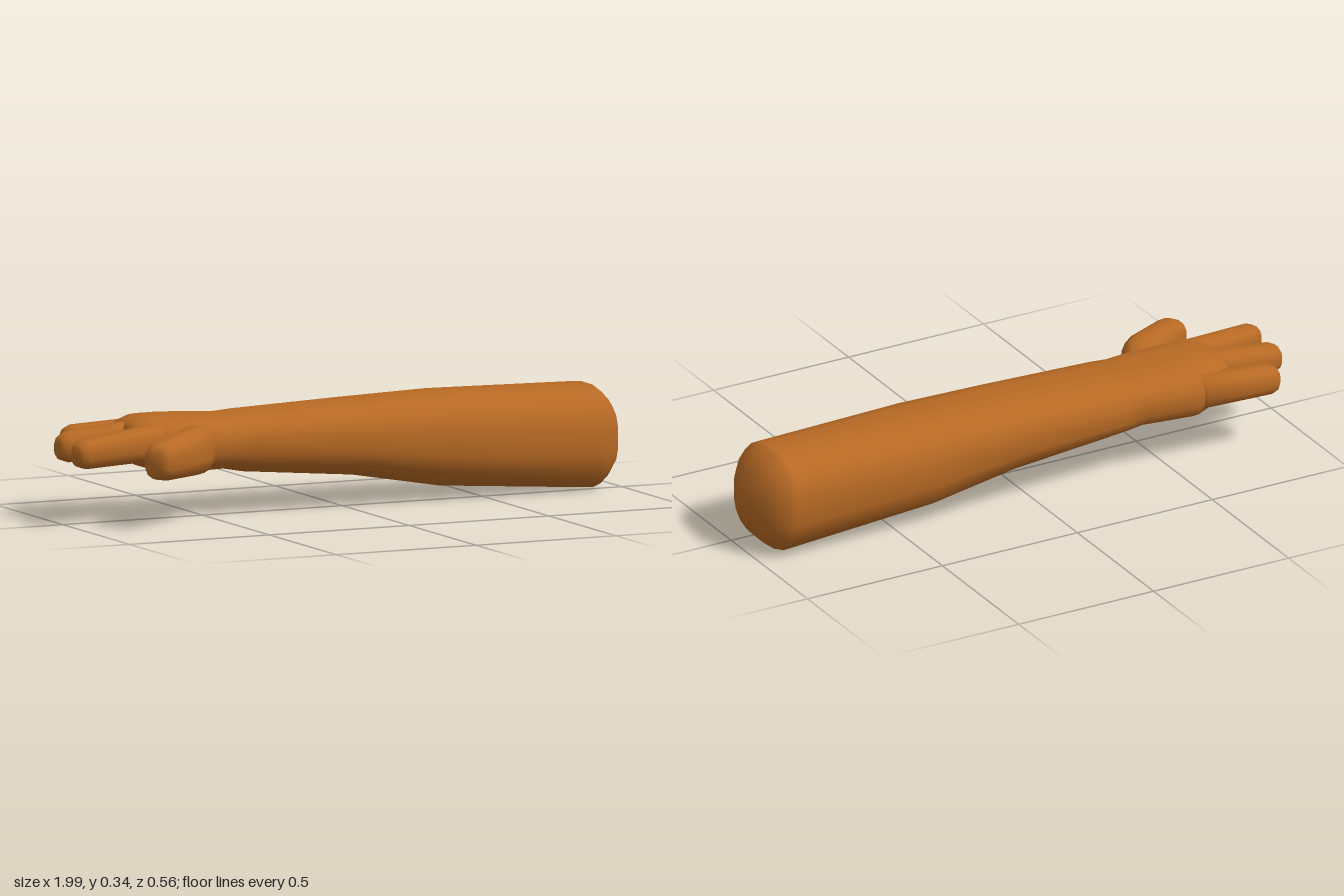
import * as THREE from 'three';

// Skin a row of rounded-square rings [x, yMin, yMax, z, halfWidth], all facing along one heading.
function loft(name, material, rings, heading, sides, power) {
  const d = new THREE.Vector3(heading[0], 0, heading[1]).normalize();
  const side = d.clone().cross(new THREE.Vector3(0, 1, 0));
  const pos = [], index = [];
  const soften = (v) => Math.sign(v) * Math.pow(Math.abs(v), 2 / power);
  for (const [x, y0, y1, z, w] of rings) {
    for (let i = 0; i < sides; i++) {
      const a = ((i + 0.5) / sides) * Math.PI * 2;
      const c = soften(Math.cos(a)) * w;
      const h = soften(Math.sin(a)) * (y1 - y0) / 2;
      pos.push(x + side.x * c, (y0 + y1) / 2 + h, z + side.z * c);
    }
  }
  for (let r = 0; r < rings.length - 1; r++) {
    for (let i = 0; i < sides; i++) {
      const a = r * sides + i, b = r * sides + (i + 1) % sides;
      index.push(a, a + sides, b, b, a + sides, b + sides);
    }
  }
  // Close both ends
  const last = (rings.length - 1) * sides, first = pos.length / 3;
  for (const [x, y0, y1, z] of [rings[0], rings[rings.length - 1]]) pos.push(x, (y0 + y1) / 2, z);
  for (let i = 0; i < sides; i++) {
    const j = (i + 1) % sides;
    index.push(first, i, j, first + 1, last + j, last + i);
  }
  const geometry = new THREE.BufferGeometry();
  geometry.setAttribute('position', new THREE.Float32BufferAttribute(pos, 3));
  geometry.setIndex(index);
  geometry.computeVertexNormals();
  const mesh = new THREE.Mesh(geometry, material);
  mesh.name = name;
  return mesh;
}

// A blunt finger from base to tip; each end is [x, y, z, halfWidth, halfHeight].
function finger(name, material, base, tip) {
  const dx = tip[0] - base[0], dz = tip[2] - base[2];
  const length = Math.hypot(dx, dz);
  const rings = [[0, 1], [0.5, 1], [1 - 0.035 / length, 1], [1 - 0.01 / length, 0.8], [1, 0.48]].map(([t, s]) => {
    const [x, y, z, w, h] = base.map((v, i) => v + (tip[i] - v) * t);
    return [x, y - h * s, y + h * s, z, w * s];
  });
  return loft(name, material, rings, [dx, dz], 12, 2.4);
}

export function createModel() {
  const group = new THREE.Group();
  const skin = new THREE.MeshStandardMaterial({ color: 0xb86a24 });
  skin.name = 'brown skin';

  // Forearm, with a domed elbow end, running into the wrist and palm
  group.add(loft('forearmAndPalm', skin, [
    [1.0, 0.125, 0.225, -0.077, 0.05],
    [0.97, 0.06, 0.285, -0.077, 0.115],
    [0.945, 0.032, 0.318, -0.077, 0.145],
    [0.91, 0.005, 0.345, -0.077, 0.171],
    [0.89, 0.006, 0.346, -0.077, 0.172],
    [0.36, 0.045, 0.355, -0.077, 0.176],
    [0.05, 0.1, 0.346, -0.077, 0.17],
    [-0.34, 0.135, 0.332, -0.077, 0.163],
    [-0.41, 0.148, 0.327, -0.079, 0.161],
    [-0.5, 0.145, 0.332, -0.082, 0.169],
    [-0.6, 0.14, 0.336, -0.088, 0.167],
    [-0.68, 0.165, 0.336, -0.09, 0.145],
    [-0.73, 0.188, 0.322, -0.085, 0.12],
    [-0.755, 0.21, 0.3, -0.08, 0.09],
  ], [-1, 0], 16, 2.5));

  // Three fingers fanned across the hand
  group.add(finger('frontFinger', skin, [-0.63, 0.26, -0.005, 0.055, 0.062], [-0.99, 0.24, 0.075, 0.044, 0.046]));
  group.add(finger('middleFinger', skin, [-0.63, 0.265, -0.1, 0.058, 0.062], [-0.975, 0.242, -0.096, 0.046, 0.048]));
  group.add(finger('backFinger', skin, [-0.62, 0.25, -0.215, 0.055, 0.058], [-0.892, 0.243, -0.235, 0.046, 0.05]));

  // Thumb splayed forward, thick at the root
  group.add(loft('thumb', skin, [
    [-0.5, 0.17, 0.3, 0.0, 0.05],
    [-0.555, 0.16, 0.316, 0.088, 0.06],
    [-0.6, 0.16, 0.316, 0.123, 0.063],
    [-0.755, 0.165, 0.289, 0.229, 0.055],
    [-0.778, 0.172, 0.278, 0.245, 0.047],
    [-0.79, 0.185, 0.262, 0.253, 0.033],
  ], [-0.83, 0.56], 12, 2.6));

  return group;
}
